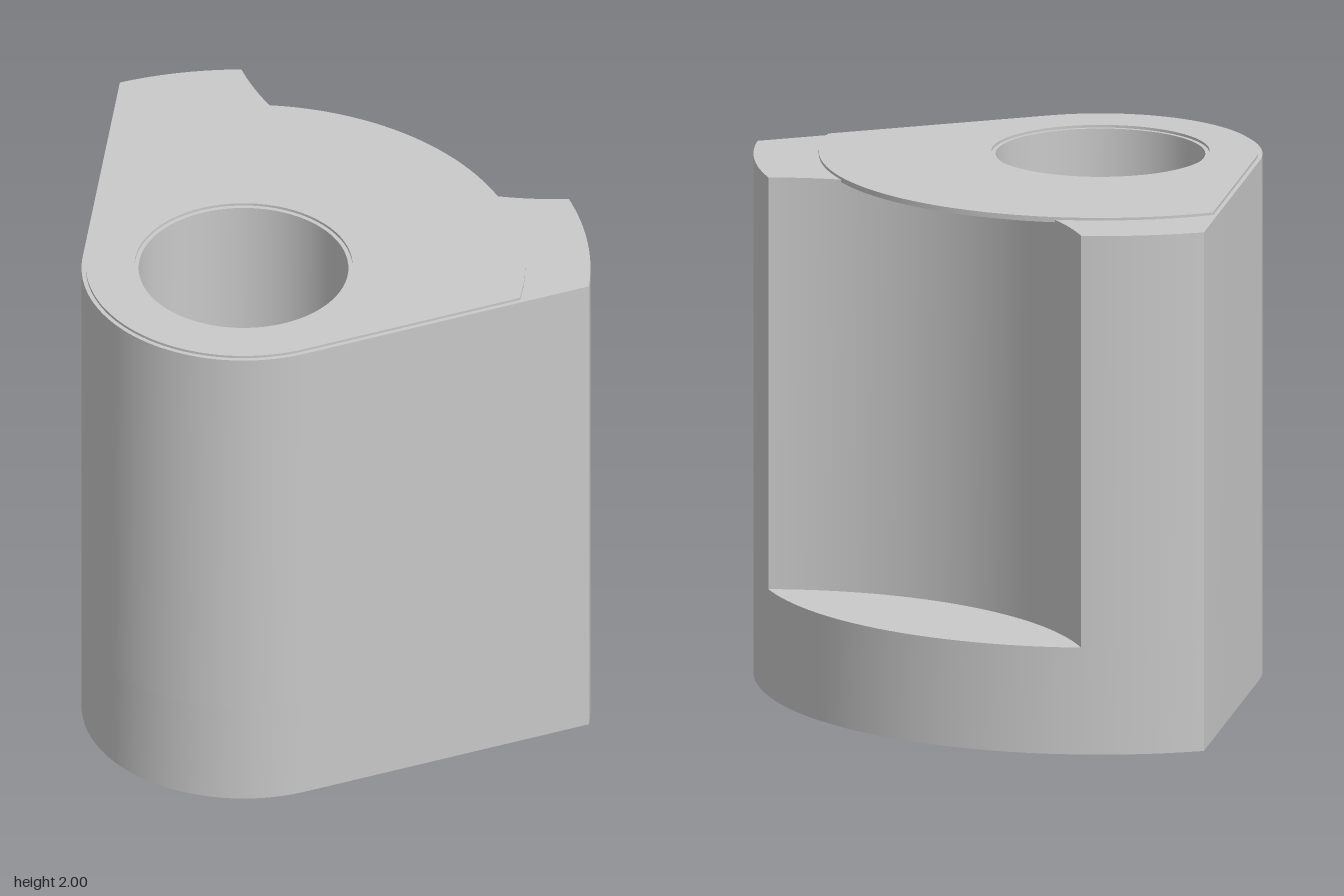
import * as THREE from 'three';
import { mergeGeometries, toCreasedNormals } from 'three/addons/utils/BufferGeometryUtils.js';

// Plan coordinates are measured from the bore axis: (x, v) with v pointing to the back.
const RAD = Math.PI / 180;
const OUTER = 1.293, INNER = 1.05, HUB = 0.604, BORE = 0.391, STEP = 0.016;
const RIM = HUB - STEP, LIP = BORE + STEP;
const FLOOR = 0.41, UNDER = 1.98, SHELF = 1.99, TOP = 2;
const SLOPE = 150.5 * RAD;                        // direction of the slanted side's normal
const MID = 32.8 * RAD, DIST = 2.04, CUT = 1.23;  // cylinder that scoops out the pocket

const polar = (r, a) => new THREE.Vector2(r * Math.cos(a), r * Math.sin(a));
const startAngle = (R, r) => -Math.PI / 2 + Math.acos(r / R);
const endAngle = (R, r) => SLOPE - Math.acos(r / R);
// Where the scoop meets a circle of radius r: angle about the bore, and about the scoop
const half = r => Math.acos((r * r + DIST * DIST - CUT * CUT) / (2 * r * DIST));
const scoopAngle = r => Math.asin(r * Math.sin(half(r)) / CUT);

function arc(r, from, to, n = 48) {
  return Array.from({ length: n + 1 }, (_, i) => polar(r, from + (to - from) * i / n));
}
const scoop = (from, to, n = 48) =>
  arc(CUT, MID + Math.PI + from, MID + Math.PI + to, n).map(p => p.add(polar(DIST, MID)));
const hubArc = r => arc(r, SLOPE, 1.5 * Math.PI, 40);
const sector = (R, r) => [...arc(R, startAngle(R, r), endAngle(R, r), 72), ...hubArc(r)];
const circle = r => arc(r, 0, 2 * Math.PI, 72).slice(0, -1);

// Upright wall around a loop
function wall(loop, y0, y1, inward = false) {
  const pos = [], n = loop.length;
  for (let i = 0; i < n; i++) {
    const j = (i + 1) % n;
    const [a, b] = inward ? [loop[j], loop[i]] : [loop[i], loop[j]];
    for (const [p, y] of [[a, y0], [b, y0], [b, y1], [a, y0], [b, y1], [a, y1]]) pos.push(p.x, y, -p.y);
  }
  const g = new THREE.BufferGeometry();
  g.setAttribute('position', new THREE.Float32BufferAttribute(pos, 3));
  return g;
}

// Flat horizontal face, optionally with a hole
function face(loop, y, hole = null, down = false) {
  const shape = new THREE.Shape(loop);
  if (hole) shape.holes.push(new THREE.Path(hole));
  const g = new THREE.ShapeGeometry(shape);
  g.rotateX(-Math.PI / 2).translate(0, y, 0);
  if (down) g.setIndex(Array.from(g.index.array).reverse());
  const flat = g.toNonIndexed();
  flat.deleteAttribute('normal');
  flat.deleteAttribute('uv');
  return flat;
}

export function createModel() {
  const grey = new THREE.MeshStandardMaterial({ color: 0xc9c9c9 });
  grey.name = 'grey';
  const group = new THREE.Group();
  group.name = 'camBlock';
  const add = (name, ...parts) => {
    const mesh = new THREE.Mesh(toCreasedNormals(mergeGeometries(parts), 0.5), grey);
    mesh.name = name;
    mesh.position.set(-0.345, 0, 0.344);
    group.add(mesh);
  };

  const a0 = startAngle(OUTER, HUB), a1 = endAngle(OUTER, HUB);
  const b0 = startAngle(INNER, RIM), b1 = endAngle(INNER, RIM);
  const ho = half(OUTER), hi = half(INNER);
  const so = scoopAngle(OUTER), si = scoopAngle(INNER);

  // Base with the pocket floor
  const full = sector(OUTER, HUB);
  const pocket = [...arc(OUTER, MID - ho, MID + ho), ...scoop(-so, so).slice(1, -1)];
  add('base', wall(full, 0, FLOOR), face(full, 0, circle(BORE), true), face(pocket, FLOOR));

  // Upright body with a concave pocket scooped from its round side
  add('body', wall([
    ...arc(OUTER, a0, MID - ho),
    ...scoop(so, -so).slice(1),
    ...arc(OUTER, MID + ho, a1).slice(1),
    ...hubArc(HUB),
  ], FLOOR, SHELF));

  // Low shelf and narrow step running around the raised top
  add('shelf', face([
    ...arc(OUTER, a0, MID - ho),
    ...scoop(so, si, 8).slice(1),
    ...arc(INNER, MID - hi, b0).slice(1),
    ...hubArc(RIM).reverse(),
    ...arc(INNER, b1, MID + hi),
    ...scoop(-si, -so, 8).slice(1),
    ...arc(OUTER, MID + ho, a1).slice(1),
    ...hubArc(HUB),
  ], SHELF));

  // Raised top plate
  const plate = sector(INNER, RIM);
  add('topPlate', wall(plate, SHELF, TOP), face(plate, TOP, circle(LIP)));

  // Thin lip of the plate hanging over the pocket
  const lens = [...arc(INNER, MID - hi, MID + hi), ...scoop(-si, si).slice(1, -1)];
  add('overhang', wall(lens, UNDER, SHELF), face(lens, UNDER, null, true));

  // Through bore with a stepped mouth
  add('bore',
    wall(circle(BORE), 0, SHELF, true),
    face(circle(LIP), SHELF, circle(BORE)),
    wall(circle(LIP), SHELF, TOP, true));

  return group;
}
